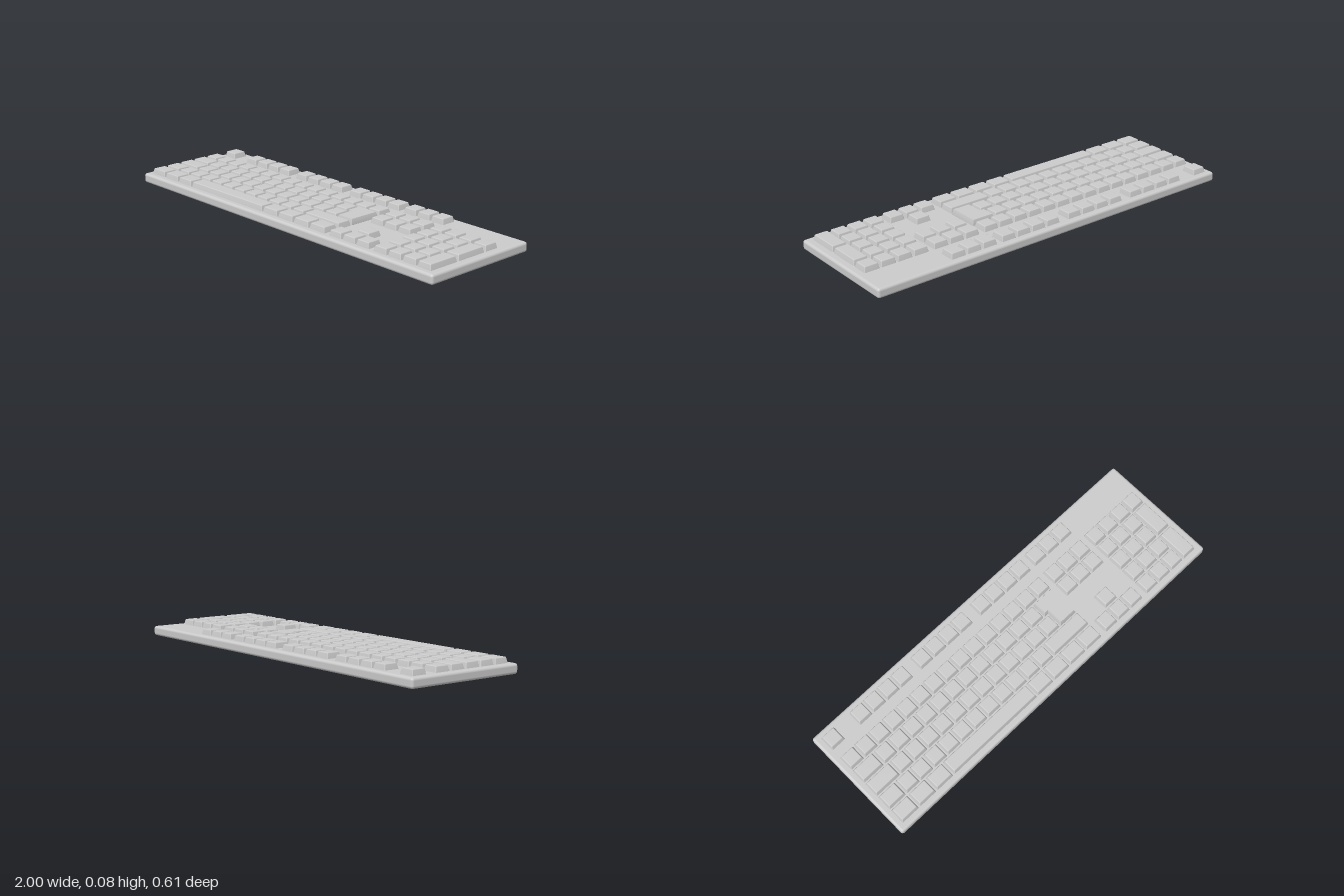
import * as THREE from 'three';
import { RoundedBoxGeometry } from 'three/addons/geometries/RoundedBoxGeometry.js';
import { mergeVertices, toCreasedNormals } from 'three/addons/utils/BufferGeometryUtils.js';

const U = 0.0861;         // key pitch
const GAP = 0.006;        // space between neighbouring keys
const X0 = -0.971;        // left edge of the key field
const DECK = 0.048;       // top of the case
const TOP = 0.075;        // top of the keys
const TAPER = 0.0075;     // how far the key sides lean in
const rowZ = [-0.2375, -0.1075, -0.0213, 0.0649, 0.1511, 0.2373];

const material = new THREE.MeshStandardMaterial({ color: 0xcccccc });
const cache = new Map();

// Tapered keycap of w by h units, its foot sunk into the case
function keyGeometry(w, h) {
  const id = w + 'x' + h;
  if (cache.has(id)) return cache.get(id);
  const sx = w * U - GAP, sz = h * U - GAP, low = DECK - 0.008;
  const box = new RoundedBoxGeometry(sx, TOP - low, sz, 2, 0.004);
  box.translate(0, (TOP + low) / 2, 0);
  const p = box.attributes.position;
  for (let i = 0; i < p.count; i++) {
    const inset = TAPER * Math.max(0, (p.getY(i) - DECK) / (TOP - DECK));
    p.setX(i, p.getX(i) * (1 - 2 * inset / sx));
    p.setZ(i, p.getZ(i) * (1 - 2 * inset / sz));
  }
  box.deleteAttribute('normal');
  box.deleteAttribute('uv');
  const geometry = mergeVertices(box, 1e-5);
  geometry.computeVertexNormals();
  cache.set(id, geometry);
  return geometry;
}

// L-shaped enter key over two rows, one outline with sloping sides
function enterGeometry() {
  const e = GAP / 2 + TAPER;
  const left = X0 + 13.5 * U + e, step = X0 + 13.75 * U + e, right = X0 + 15 * U - e;
  const back = rowZ[2] - U / 2 + e, mid = rowZ[2] + U / 2 - e, front = rowZ[3] + U / 2 - e;
  const outline = new THREE.Shape([
    [left, -back], [left, -mid], [step, -mid], [step, -front], [right, -front], [right, -back],
  ].map(([x, y]) => new THREE.Vector2(x, y)));
  const g = new THREE.ExtrudeGeometry(outline, {
    depth: 0.002, bevelThickness: 0.026, bevelSize: TAPER, bevelSegments: 1,
  });
  g.rotateX(-Math.PI / 2);
  g.translate(0, DECK - 0.001, 0);
  return toCreasedNormals(g, 0.5);
}

export function createModel() {
  const model = new THREE.Group();
  model.name = 'keyboard';

  function add(parent, name, geometry) {
    const mesh = new THREE.Mesh(geometry, material);
    mesh.name = name;
    parent.add(mesh);
    return mesh;
  }

  function block(name) {
    const group = new THREE.Group();
    group.name = name;
    model.add(group);
    return group;
  }

  // A row of keys of the given widths, starting at a unit offset
  function addRow(parent, row, start, widths) {
    let u = start;
    for (const w of widths) {
      add(parent, 'key', keyGeometry(w, 1)).position.set(X0 + (u + w / 2) * U, 0, rowZ[row]);
      u += w;
    }
  }
  const ones = (n) => Array(n).fill(1);

  // Case
  const body = new RoundedBoxGeometry(2, DECK, 0.614, 4, 0.013);
  body.translate(0, DECK / 2, 0);
  add(model, 'case', body);

  // Separate back row: a single key, then three groups of four
  const backRowKeys = block('backRowKeys');
  addRow(backRowKeys, 0, 0, [1]);
  for (const start of [2, 6.5, 11]) addRow(backRowKeys, 0, start, ones(4));

  // Main typing block
  const mainKeys = block('mainKeys');
  addRow(mainKeys, 1, 0, ones(15));
  addRow(mainKeys, 2, 0, [1.5, ...ones(12)]);
  addRow(mainKeys, 3, 0, [1.75, ...ones(12)]);
  addRow(mainKeys, 4, 0, [1.25, ...ones(11), 2.75]);
  addRow(mainKeys, 5, 0, [1.25, 1.25, 1.25, 6.25, 1.25, 1.25, 1.25, 1.25]);
  add(mainKeys, 'enterKey', enterGeometry());

  // Navigation keys and arrows
  const navigationKeys = block('navigationKeys');
  for (const row of [0, 1, 2, 5]) addRow(navigationKeys, row, 15.25, ones(3));
  addRow(navigationKeys, 4, 16.25, [1]);

  // Number pad with two double-height keys at its +x edge
  const numberPad = block('numberPad');
  addRow(numberPad, 1, 18.5, ones(4));
  for (const row of [2, 3, 4, 5]) addRow(numberPad, row, 18.5, ones(3));
  for (const row of [2, 4]) {
    add(numberPad, 'tallKey', keyGeometry(1, 2))
      .position.set(X0 + 22 * U, 0, (rowZ[row] + rowZ[row + 1]) / 2);
  }

  return model;
}
